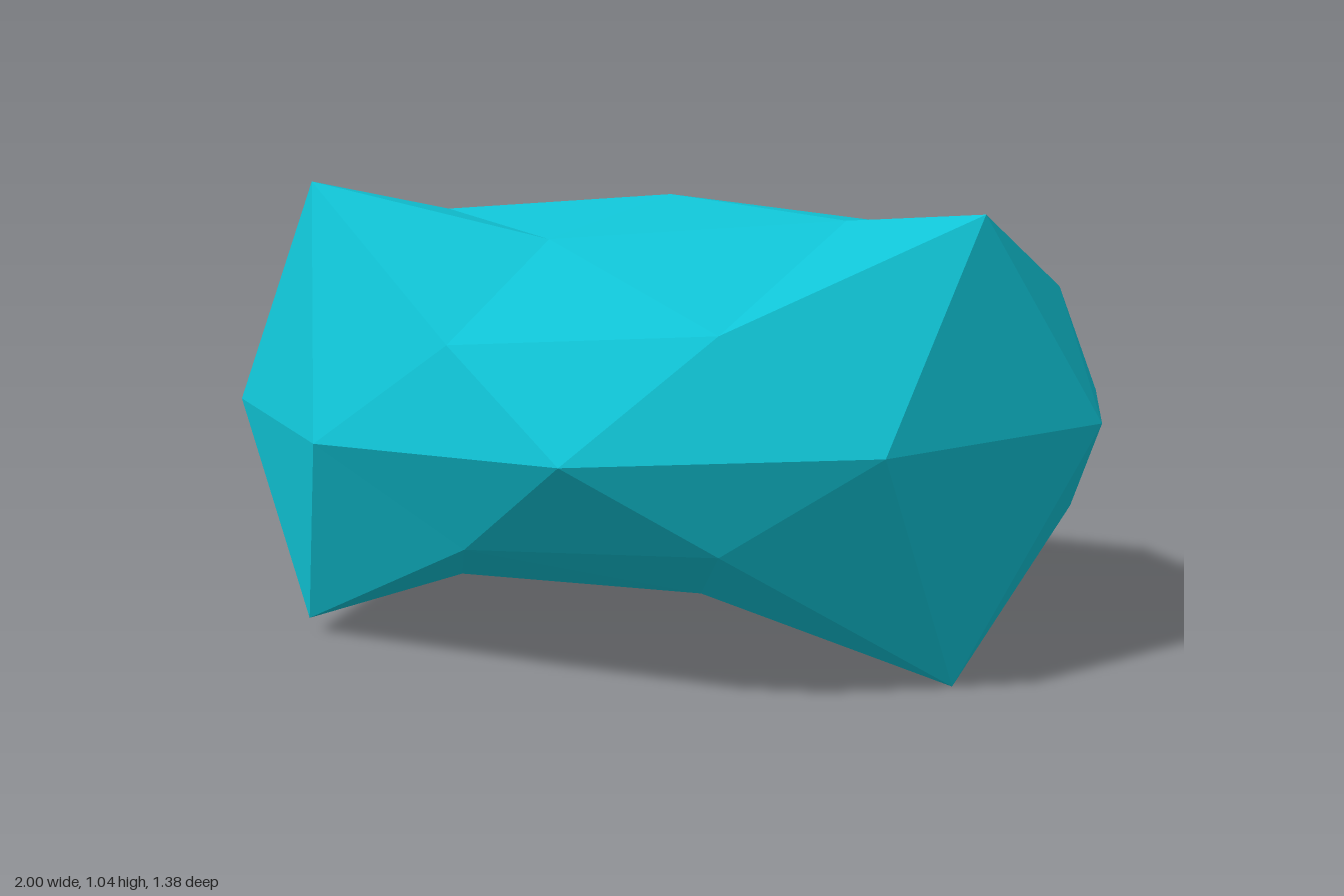
import * as THREE from 'three';

// Vertical pulls on single ring points: horn-like peaks in front, a sagging back.
const PULLS = {
  topInner: { 1: 0.04, 5: 0.02, 7: -0.025 },
  topOuter: { 0: 0.03, 1: 0.26, 4: 0.258, 5: 0.03, 7: -0.11, 8: -0.11 },
  middle: { 0: 0.01, 1: 0.01, 3: -0.03, 4: -0.04, 7: -0.31 },
  bottomOuter: { 0: -0.03, 1: -0.308, 4: -0.309, 7: -0.1, 8: -0.12 },
  bottomInner: { 4: -0.05, 6: -0.03, 8: -0.03 },
};

// Squashes a unit-sphere point into the lopsided stone
function stonePoint(lat, step, pull = 0) {
  const az = (step * Math.PI) / 5;
  const x = Math.cos(lat) * Math.cos(az), z = Math.cos(lat) * Math.sin(az);
  return new THREE.Vector3(
    x * (1.05 - 0.08 * (z - 0.25) ** 2),
    0.55 + 0.45 * Math.sin(lat) + pull,
    -0.18 + 0.69 * z + 0.18 * z * z
  );
}

function createStoneGeometry() {
  const inner = 1.0172, corner = 0.4636, mid = 0.5536; // latitudes of a subdivided icosahedron
  const tris = [];
  const ring = (name, fn) =>
    Array.from({ length: 10 }, (_, k) => fn(k, PULLS[name][k] || 0));
  const middle = ring('middle', (k, p) => stonePoint(0, k + 0.5, p));

  // The two caps share the middle ring; their corners are offset by one step
  for (const [side, sign, odd] of [['top', 1, 1], ['bottom', -1, 0]]) {
    const add = (a, b, c) => tris.push(...(sign > 0 ? [a, b, c] : [a, c, b]));
    const pole = stonePoint((sign * Math.PI) / 2, 0);
    const innerRing = ring(side + 'Inner', (k, p) => stonePoint(sign * inner, k, p));
    const outer = ring(side + 'Outer', (k, p) =>
      stonePoint(sign * (k % 2 === odd ? corner : mid), k, p));

    for (let k = odd; k < 10; k += 2) {
      const n = (k + 1) % 10, n2 = (k + 2) % 10, prev = (k + 9) % 10;
      add(pole, innerRing[n2], innerRing[k]);
      add(innerRing[k], innerRing[n2], outer[n]);
      add(innerRing[k], outer[n], outer[k]);
      add(innerRing[k], outer[k], outer[prev]);
    }
    for (let k = 0; k < 10; k++) {
      const n = (k + 1) % 10;
      add(outer[k], outer[n], middle[k]);
      add(outer[n], middle[n], middle[k]);
    }
  }
  const geometry = new THREE.BufferGeometry().setFromPoints(tris);
  geometry.computeVertexNormals();
  return geometry;
}

export function createModel() {
  const group = new THREE.Group();
  group.name = 'facetedStone';
  const stone = new THREE.Mesh(
    createStoneGeometry(),
    new THREE.MeshStandardMaterial({ color: 0x10c4d6, flatShading: true })
  );
  stone.name = 'stone';
  group.add(stone);
  return group;
}
